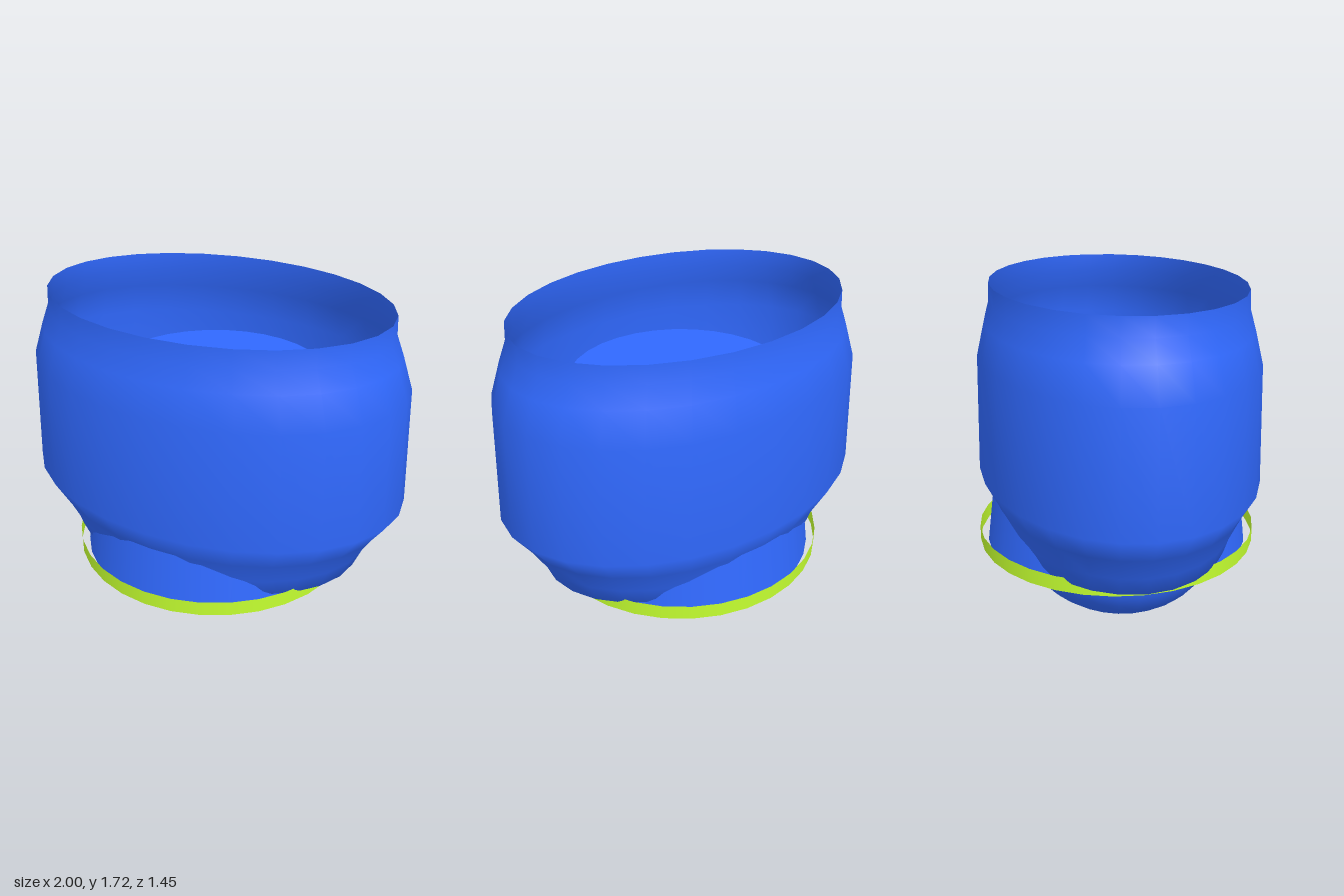
import * as THREE from 'three';

export function createModel() {
  const group = new THREE.Group();
  const blue = new THREE.MeshStandardMaterial({ color: 0x3069ff, side: THREE.DoubleSide });
  const green = new THREE.MeshStandardMaterial({ color: 0xc4ff30, side: THREE.DoubleSide });

  const add = (name, geometry, material, y = 0) => {
    const mesh = new THREE.Mesh(geometry, material);
    mesh.name = name;
    mesh.position.y = y;
    group.add(mesh);
    return mesh;
  };

  // Open oval shell: profile from the tucked-in bottom to the top rim, flattened in z
  const profile = [
    [0.5, 0.3], [0.65, 0.34], [0.72, 0.385], [0.795, 0.42], [0.835, 0.52], [0.91, 0.65],
    [1, 0.78], [0.975, 1.37], [0.92, 1.53], [0.88, 1.63], [0.875, 1.72],
  ].map(([x, y]) => new THREE.Vector2(x, y));
  const shell = new THREE.LatheGeometry(profile, 28);
  shell.scale(1, 1, 0.71);
  add('bodyShell', shell, blue);

  // Tapered round core with a flat top, seen inside the shell and bulging at front and back
  const coreBottom = 0.37, coreTop = 1.325;
  add('innerCore', new THREE.CylinderGeometry(0.56, 0.685, coreTop - coreBottom, 32),
    blue, (coreBottom + coreTop) / 2);

  // Thin band standing slightly off the core
  add('beltBand', new THREE.CylinderGeometry(0.725, 0.725, 0.075, 32, 1, true), green, 0.4125);

  // Rounded underside, wider than deep
  const dome = new THREE.SphereGeometry(1, 32, 12, 0, Math.PI * 2, Math.PI / 2, Math.PI / 2);
  dome.scale(0.655, 0.395, 0.53);
  add('lowerDome', dome, blue, 0.4);

  return group;
}
